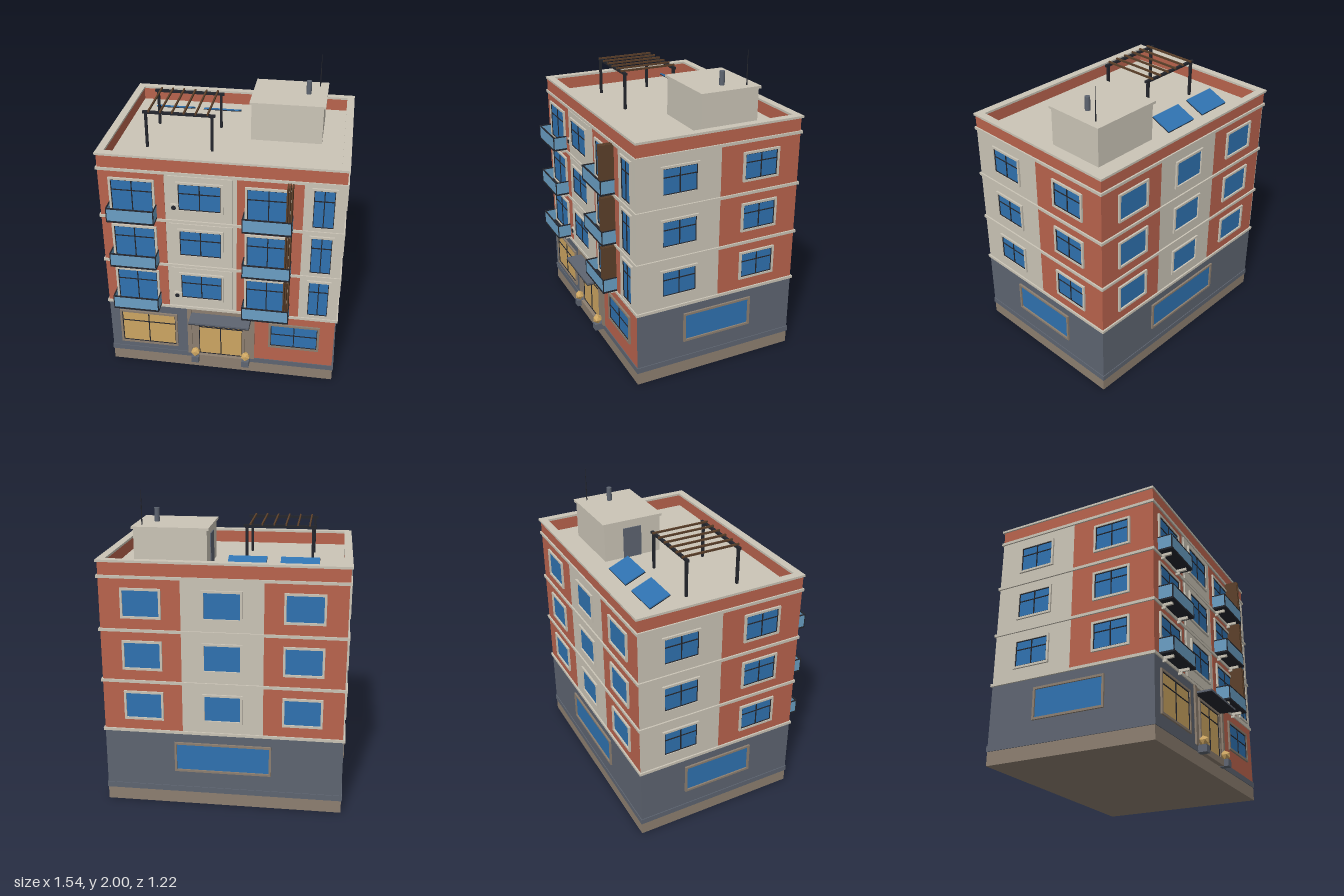
import * as THREE from 'three';

const mat = (name, color) => {
  const m = new THREE.MeshStandardMaterial({ color });
  m.name = name;
  return m;
};

export function createModel() {
  const M = {
    brick: mat('terracotta', 0xb9634d),
    cream: mat('cream', 0xcbc5b7),
    slate: mat('slate', 0x5e6571),
    taupe: mat('taupe', 0x8d7f70),
    glass: mat('blue glass', 0x2f72b0),
    panel: mat('balcony glass', 0x6a9fc4),
    gold: mat('warm glass', 0xcda662),
    dark: mat('dark metal', 0x24262d),
    wood: mat('brown wood', 0x5c402a),
  };
  const model = new THREE.Group();
  model.name = 'apartmentBuilding';

  // box given by its lower and upper corners
  function box(parent, name, m, x0, x1, y0, y1, z0, z1) {
    const mesh = new THREE.Mesh(new THREE.BoxGeometry(x1 - x0, y1 - y0, z1 - z0), m);
    mesh.position.set((x0 + x1) / 2, (y0 + y1) / 2, (z0 + z1) / 2);
    mesh.name = name;
    parent.add(mesh);
    return mesh;
  }
  function group(name, parent = model) {
    const g = new THREE.Group();
    g.name = name;
    parent.add(g);
    return g;
  }

  const W = 0.76, ZF = 0.505, ZB = -0.6;
  const bands = [0.505, 0.84, 1.175, 1.512];

  // rectangular ring of four bars, used for window frames and parapets
  function frame(parent, name, m, x0, x1, y0, y1, t, z0, z1) {
    const s = new THREE.Shape([[x0, y0], [x1, y0], [x1, y1], [x0, y1]].map(p => new THREE.Vector2(...p)));
    s.holes.push(new THREE.Path([[x0 + t, y0 + t], [x0 + t, y1 - t], [x1 - t, y1 - t], [x1 - t, y0 + t]]
      .map(p => new THREE.Vector2(...p))));
    const mesh = new THREE.Mesh(new THREE.ExtrudeGeometry(s, { depth: z1 - z0, bevelEnabled: false }), m);
    mesh.position.z = z0;
    mesh.name = name;
    parent.add(mesh);
    return mesh;
  }
  // window on a facade: frame, pane, optional mullions (bar = height of the transom)
  function windowUnit(f, x0, x1, y0, y1, { trim = M.cream, pane = M.glass, bar = 0 } = {}) {
    const g = group('window', f), t = 0.014, c = (x0 + x1) / 2;
    frame(g, 'windowFrame', trim, x0, x1, y0, y1, t, -0.002, 0.012);
    box(g, 'pane', pane, x0 + t, x1 - t, y0 + t, y1 - t, -0.004, 0.002);
    if (!bar) return;
    box(g, 'mullion', M.dark, c - 0.003, c + 0.003, y0 + t, y1 - t, 0, 0.007);
    box(g, 'transom', M.dark, x0 + t, x1 - t, bar - 0.003, bar + 0.003, 0, 0.006);
    frame(g, 'sash', M.dark, x0 + t, x1 - t, y0 + t, y1 - t, 0.004, 0, 0.007);
  }
  const wall = (f, m, x0, x1, y0, y1, out = 0) => box(f, 'wallPanel', m, x0, x1, y0, y1, -0.006, out);

  // main body
  box(model, 'core', M.cream, -W + 0.005, W - 0.005, 0.02, 1.52, ZB + 0.005, ZF - 0.005);
  box(model, 'plinth', M.taupe, -W, W, 0, 0.085, ZB, ZF);
  box(model, 'plinthBand', M.slate, -W - 0.005, W + 0.005, 0.085, 0.122, ZB - 0.005, ZF + 0.005);
  for (const y of bands) box(model, 'floorBand', M.cream, -W - 0.01, W + 0.01, y - 0.009, y + 0.009, ZB - 0.01, ZF + 0.008);

  // parapet and coping around the roof
  function ring(name, m, x, zb, zf, t, y0, y1) {
    const r = frame(model, name, m, -x, x, -zf, -zb, t, 0, y1 - y0);
    r.rotation.x = -Math.PI / 2;
    r.position.y = y0;
  }
  ring('parapet', M.brick, W, ZB, ZF, 0.035, 1.515, 1.602);
  ring('coping', M.cream, W + 0.01, ZB - 0.012, ZF + 0.006, 0.05, 1.602, 1.616);

  // facades: local x runs to the viewer's right, local z outwards
  function facade(name, angle, x, z) {
    const f = group(name);
    f.rotation.y = angle;
    f.position.set(x, 0, z);
    return f;
  }
  const front = facade('frontFacade', 0, 0, ZF);
  const back = facade('backFacade', Math.PI, 0, ZB);
  const right = facade('plusXFacade', Math.PI / 2, W, 0);
  const left = facade('minusXFacade', -Math.PI / 2, -W, 0);
  const E = W - 0.005;

  // ground floor
  wall(front, M.slate, -E, -0.23, 0.12, 0.5);
  wall(front, M.taupe, -0.23, 0.225, 0.12, 0.5);
  wall(front, M.brick, 0.225, E, 0.12, 0.5);
  wall(back, M.slate, -E, E, 0.12, 0.5);
  wall(right, M.slate, -ZF, -ZB, 0.12, 0.5);
  wall(left, M.slate, ZB, ZF, 0.12, 0.5);
  const shop = { trim: M.taupe };
  windowUnit(front, -0.693, -0.297, 0.165, 0.435, { trim: M.taupe, pane: M.gold, bar: 0.35 });
  windowUnit(front, 0.322, 0.658, 0.24, 0.438, { trim: M.taupe, bar: 0.35 });
  windowUnit(back, -0.31, 0.31, 0.232, 0.435, shop);
  windowUnit(right, -0.19, 0.29, 0.232, 0.435, shop);
  windowUnit(left, -0.29, 0.19, 0.232, 0.435, shop);

  // entrance with canopy, step and planters
  windowUnit(front, -0.164, 0.16, 0.11, 0.435, { trim: M.taupe, pane: M.gold, bar: 0.352 });
  for (const s of [-1, 1]) {
    box(front, 'entrancePilaster', M.taupe, s * 0.213 - 0.014, s * 0.213 + 0.014, 0.12, 0.497, 0, 0.012);
    box(front, 'planter', M.slate, s * 0.172 - 0.025, s * 0.172 + 0.025, 0.08, 0.126, 0, 0.06);
    const bush = new THREE.Mesh(new THREE.IcosahedronGeometry(0.033, 0), M.gold);
    bush.name = 'planterBush';
    bush.position.set(s * 0.172, 0.155, 0.034);
    front.add(bush);
  }
  box(front, 'entranceStep', M.taupe, -0.147, 0.147, 0.083, 0.125, 0, 0.03);
  box(front, 'canopy', M.slate, -0.2, 0.2, 0.449, 0.463, 0, 0.107);
  box(front, 'canopyTrim', M.dark, -0.203, 0.203, 0.446, 0.45, 0, 0.108);

  // balcony with glass panels, rails and brackets
  function balcony(x0, x1, y) {
    const g = group('balcony', front), d = 0.094;
    box(g, 'balconySlab', M.dark, x0, x1, y, y + 0.012, 0, d);
    box(g, 'balconyGlass', M.panel, x0 + 0.004, x1 - 0.004, y + 0.012, y + 0.095, d - 0.008, d - 0.002);
    box(g, 'topRail', M.dark, x0, x1, y + 0.093, y + 0.1, d - 0.009, d);
    for (const x of [x0, x1 - 0.006]) {
      box(g, 'sideGlass', M.panel, x + 0.001, x + 0.005, y + 0.012, y + 0.095, 0, d - 0.006);
      box(g, 'sideRail', M.dark, x, x + 0.006, y + 0.093, y + 0.1, 0, d);
      box(g, 'cornerPost', M.dark, x, x + 0.006, y, y + 0.1, d - 0.006, d);
    }
    for (const x of [x0 + 0.045, x1 - 0.045]) {
      box(g, 'bracketArm', M.cream, x - 0.007, x + 0.007, y - 0.017, y, 0, 0.07);
      box(g, 'bracketFoot', M.cream, x - 0.005, x + 0.005, y - 0.033, y - 0.017, 0, 0.025);
    }
  }

  // upper floors
  for (let i = 0; i < 3; i++) {
    const y = bands[i], y0 = y + 0.005, y1 = bands[i + 1] - 0.005;
    wall(front, M.brick, -E, -0.345, y0, y1);
    wall(front, M.cream, -0.345, 0.105, y0, y1, -0.003);
    wall(front, M.cream, -0.322, 0.08, y + 0.016, y1 - 0.01, 0.006);
    wall(front, M.brick, 0.105, 0.51, y0, y1);
    wall(front, M.cream, 0.51, E, y0, y1);
    wall(right, M.cream, -ZF, 0.05, y0, y1);
    wall(right, M.brick, 0.05, -ZB, y0, y1);
    wall(left, M.cream, ZB, -0.05, y0, y1);
    wall(left, M.brick, -0.05, ZF, y0, y1);
    for (const s of [-1, 1]) wall(back, M.brick, s * 0.505 - 0.25, s * 0.505 + 0.25, y0, y1);
    wall(back, M.cream, -0.255, 0.255, y0, y1);

    windowUnit(front, -0.695, -0.405, y + 0.02, y + 0.283, { bar: y + 0.198 });
    windowUnit(front, 0.155, 0.445, y + 0.02, y + 0.283, { bar: y + 0.198 });
    const mid = group('middleBay', front);
    mid.position.z = 0.006;
    windowUnit(mid, -0.27, 0.022, y + 0.078, y + 0.287, { bar: y + 0.207 });
    windowUnit(front, 0.555, 0.71, y + 0.025, y + 0.31, { bar: y + 0.222 });
    for (const u of [-0.5, 0, 0.5]) windowUnit(back, u - 0.126, u + 0.126, y + 0.078, y + 0.27);
    for (const z of [0.225, -0.325]) {
      windowUnit(right, -z - 0.126, -z + 0.126, y + 0.078, y + 0.27, { bar: y + 0.2 });
      windowUnit(left, z - 0.126, z + 0.126, y + 0.078, y + 0.27, { bar: y + 0.2 });
    }

    balcony(-0.7, -0.398, y + 0.01);
    balcony(0.148, 0.452, y + 0.01);
    for (const x of [0.416, 0.43, 0.444]) box(front, 'woodScreen', M.wood, x - 0.004, x + 0.004, y + 0.012, y1, 0, 0.09);

    // air conditioner on the first and third upper floors
    if (i !== 1) {
      box(front, 'airConditioner', M.cream, -0.305, -0.254, y + 0.09, y + 0.133, 0.005, 0.026);
      const fan = new THREE.Mesh(new THREE.CylinderGeometry(0.015, 0.015, 0.004, 16), M.dark);
      fan.name = 'fan';
      fan.rotation.x = Math.PI / 2;
      fan.position.set(-0.284, y + 0.112, 0.027);
      front.add(fan);
    }
  }

  // rooftop stair house with vent and antenna
  const house = group('stairHouse');
  box(house, 'houseWalls', M.cream, 0.12, 0.58, 1.51, 1.768, -0.4, -0.01);
  box(house, 'houseRoof', M.cream, 0.108, 0.592, 1.766, 1.782, -0.412, 0);
  box(house, 'houseDoor', M.slate, 0.114, 0.121, 1.52, 1.725, -0.27, -0.145);
  function rod(parent, name, m, r, x, z, y0, y1) {
    const c = new THREE.Mesh(new THREE.CylinderGeometry(r, r, y1 - y0, 12), m);
    c.position.set(x, (y0 + y1) / 2, z);
    c.name = name;
    parent.add(c);
  }
  rod(house, 'vent', M.slate, 0.017, 0.47, -0.205, 1.78, 1.87);
  rod(house, 'antennaBase', M.dark, 0.0035, 0.537, -0.34, 1.78, 1.91);
  rod(house, 'antennaTip', M.dark, 0.002, 0.537, -0.34, 1.9, 2);

  // pergola
  const pergola = group('pergola');
  for (const z of [-0.163, 0.19]) {
    box(pergola, 'beam', M.dark, -0.54, -0.078, 1.752, 1.768, z - 0.009, z + 0.009);
    for (const x of [-0.52, -0.1]) box(pergola, 'post', M.dark, x - 0.008, x + 0.008, 1.515, 1.755, z - 0.008, z + 0.008);
  }
  for (let i = 0; i < 6; i++) {
    const x = -0.498 + i * 0.0748;
    box(pergola, 'slat', M.wood, x - 0.005, x + 0.005, 1.766, 1.778, -0.182, 0.207);
  }

  // tilted solar panels
  for (const x of [-0.45, -0.123]) {
    const p = group('solarPanel');
    p.position.set(x, 1.56, -0.362);
    p.rotation.x = -0.4;
    box(p, 'solarFace', M.glass, -0.12, 0.12, 0, 0.007, -0.073, 0.073);
    box(p, 'solarBacking', M.dark, -0.121, 0.121, -0.005, 0, -0.074, 0.074);
  }
  return model;
}
